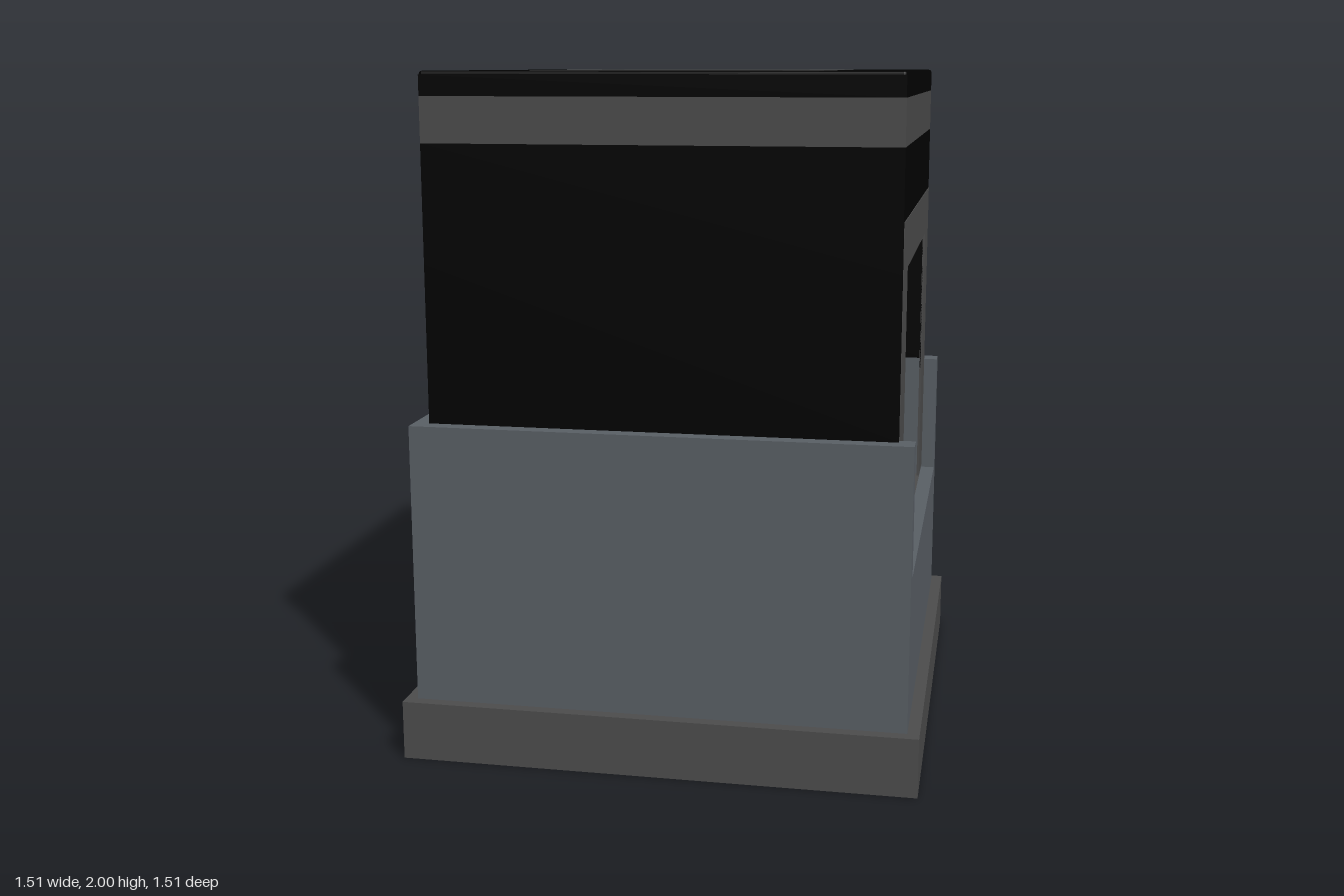
import * as THREE from 'three';
import { RoundedBoxGeometry } from 'three/addons/geometries/RoundedBoxGeometry.js';

const mat = (color) => new THREE.MeshStandardMaterial({ color, flatShading: true });
const toVec = (pts) => pts.map(([a, b]) => new THREE.Vector2(a, b));
const square = (h) => [[-h, -h], [h, -h], [h, h], [-h, h]];

// Prism from an outline (and optional hole), extruded along its local z
function prism(outline, hole, depth) {
  const shape = new THREE.Shape(toVec(outline));
  if (hole) shape.holes.push(new THREE.Path(toVec(hole)));
  return new THREE.ExtrudeGeometry(shape, { depth, bevelEnabled: false });
}

export function createModel() {
  const model = new THREE.Group();
  model.name = 'openBooth';
  const grey = mat(0x4d4d4d), blue = mat(0x5a6066), black = mat(0x010101);

  const add = (name, geometry, material) => {
    const mesh = new THREE.Mesh(geometry, material);
    mesh.name = name;
    model.add(mesh);
  };
  // Upright prism between two heights, outline in plan
  const upright = (name, material, outline, hole, y0, y1) =>
    add(name, prism(outline, hole, y1 - y0).rotateX(-Math.PI / 2).translate(0, y0, 0), material);
  const ring = (name, material, outer, inner, y0, y1) =>
    upright(name, material, square(outer), square(inner), y0, y1);
  // Square ring with a gap of half-width g in its +x side
  const gapRing = (name, material, o, i, g, y0, y1) =>
    upright(name, material,
      [[o, g], [o, o], [-o, o], [-o, -o], [o, -o], [o, -g], [i, -g], [i, -i], [-i, -i], [-i, i], [i, i], [i, g]],
      null, y0, y1);
  // Box centred on x and z between two heights
  const slab = (name, material, half, y0, y1) =>
    add(name, new THREE.BoxGeometry(2 * half, y1 - y0, 2 * half).translate(0, (y0 + y1) / 2, 0), material);

  // Hollow plinth with a thin skirt and a top ledge
  ring('plinthSkirt', grey, 0.755, 0.745, 0, 0.165);
  ring('plinthLedge', grey, 0.755, 0.7, 0.165, 0.175);

  // Lower walls, notched on the open side
  ring('lowerWall', blue, 0.72, 0.7, 0.162, 0.58);
  ring('sillWall', blue, 0.72, 0.675, 0.58, 0.61);
  gapRing('notchedWall', blue, 0.72, 0.67, 0.65, 0.61, 1);

  // Base plate with a raised interior floor standing clear of the walls
  slab('floorBase', grey, 0.7, 0.54, 0.58);
  slab('floor', grey, 0.605, 0.58, 0.705);

  // Upper shell with its window, band and softly rounded roof
  gapRing('upperWall', black, 0.674, 0.669, 0.48, 1, 1.46);
  ring('upperWallTop', black, 0.674, 0.669, 1.46, 1.8);
  ring('band', grey, 0.674, 0.669, 1.8, 1.93);
  ring('roofRim', black, 0.674, 0.669, 1.93, 1.988);
  add('roof', new RoundedBoxGeometry(1.348, 0.02, 1.348, 2, 0.009).translate(0, 1.989, 0), black);

  // Flat frame around the opening, set on the +x side
  const frame = [[-0.655, 0.62], [-0.48, 0.62], [-0.48, 1.46], [0.48, 1.46],
    [0.48, 0.62], [0.655, 0.62], [0.655, 1.6], [-0.655, 1.6]];
  add('openingFrame', prism(frame, null, 0.008).rotateY(Math.PI / 2).translate(0.668, 0, 0), grey);

  // Slightly tapered square marking on the roof
  upright('roofMarking', grey,
    [[-0.427, -0.425], [0.427, -0.453], [0.427, 0.453], [-0.427, 0.425]],
    [[-0.32, -0.32], [0.32, -0.34], [0.32, 0.34], [-0.32, 0.32]], 1.99, 2);
  return model;
}
